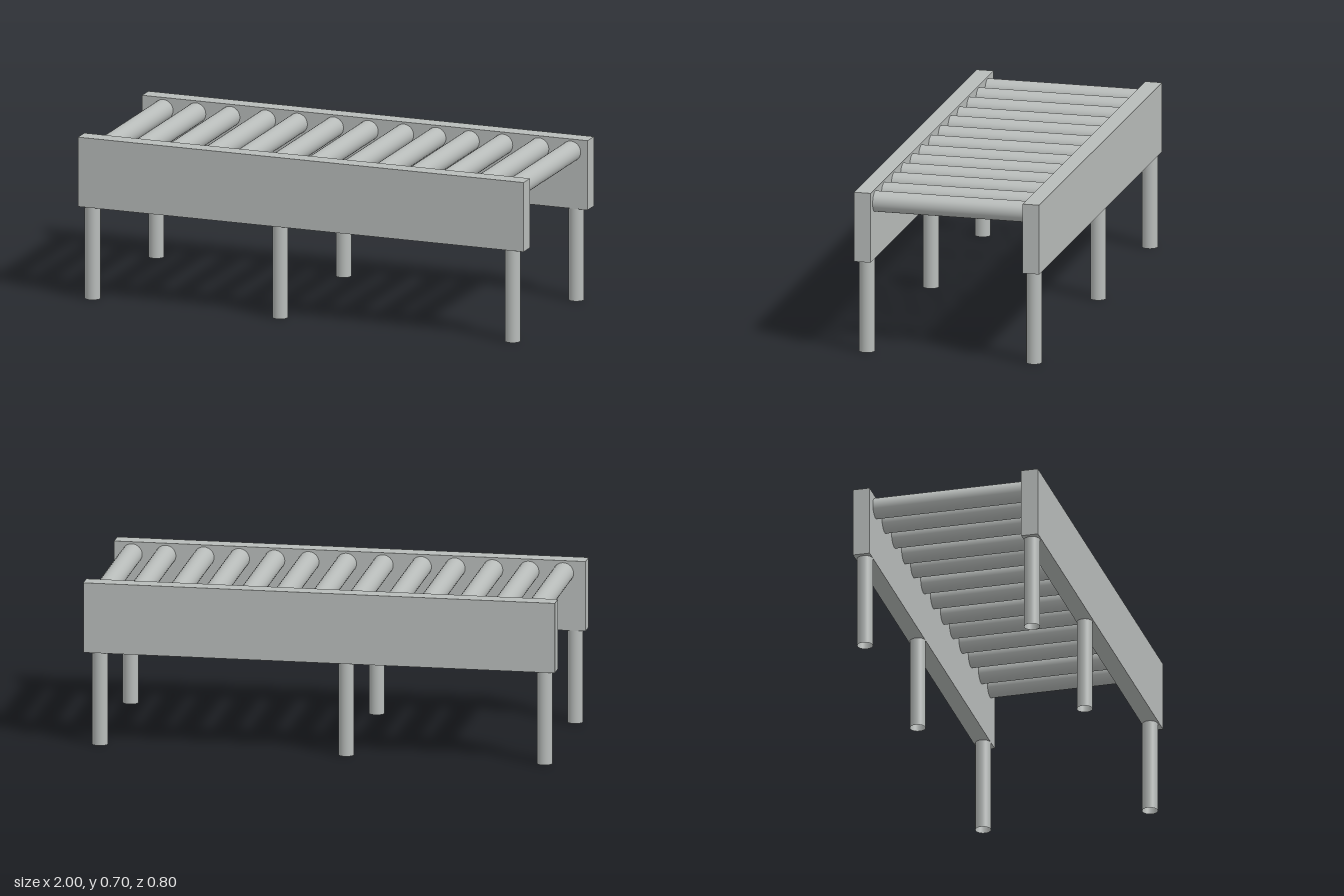
import * as THREE from 'three';

export function createModel() {
  const model = new THREE.Group();
  model.name = 'rollerConveyor';
  const steel = new THREE.MeshStandardMaterial({ color: 0xb8bcba, side: THREE.DoubleSide });
  steel.name = 'greySteel';

  const add = (name, geometry, x, y, z) => {
    const mesh = new THREE.Mesh(geometry, steel);
    mesh.name = name;
    mesh.position.set(x, y, z);
    model.add(mesh);
  };

  // Side rails, each on three open tube legs
  const railGeo = new THREE.BoxGeometry(2, 0.3, 0.072);
  const legGeo = new THREE.CylinderGeometry(0.033, 0.033, 0.4, 32, 1, true);
  for (const [side, s] of [['front', 1], ['back', -1]]) {
    add(side + 'Rail', railGeo, 0, 0.55, s * 0.364);
    [-0.95, -0.108, 0.936].forEach((x, i) => add(side + 'Leg' + (i + 1), legGeo, x, 0.2, s * 0.361));
  }

  // Slightly unevenly spaced rollers between the rails
  const rollerGeo = new THREE.CylinderGeometry(0.044, 0.044, 0.656, 32).rotateX(Math.PI / 2);
  [-0.905, -0.758, -0.605, -0.445, -0.302, -0.14, 0.016, 0.175, 0.32, 0.47, 0.62, 0.782, 0.925]
    .forEach((x, i) => add('roller' + (i + 1), rollerGeo, x, 0.647, 0));

  return model;
}
